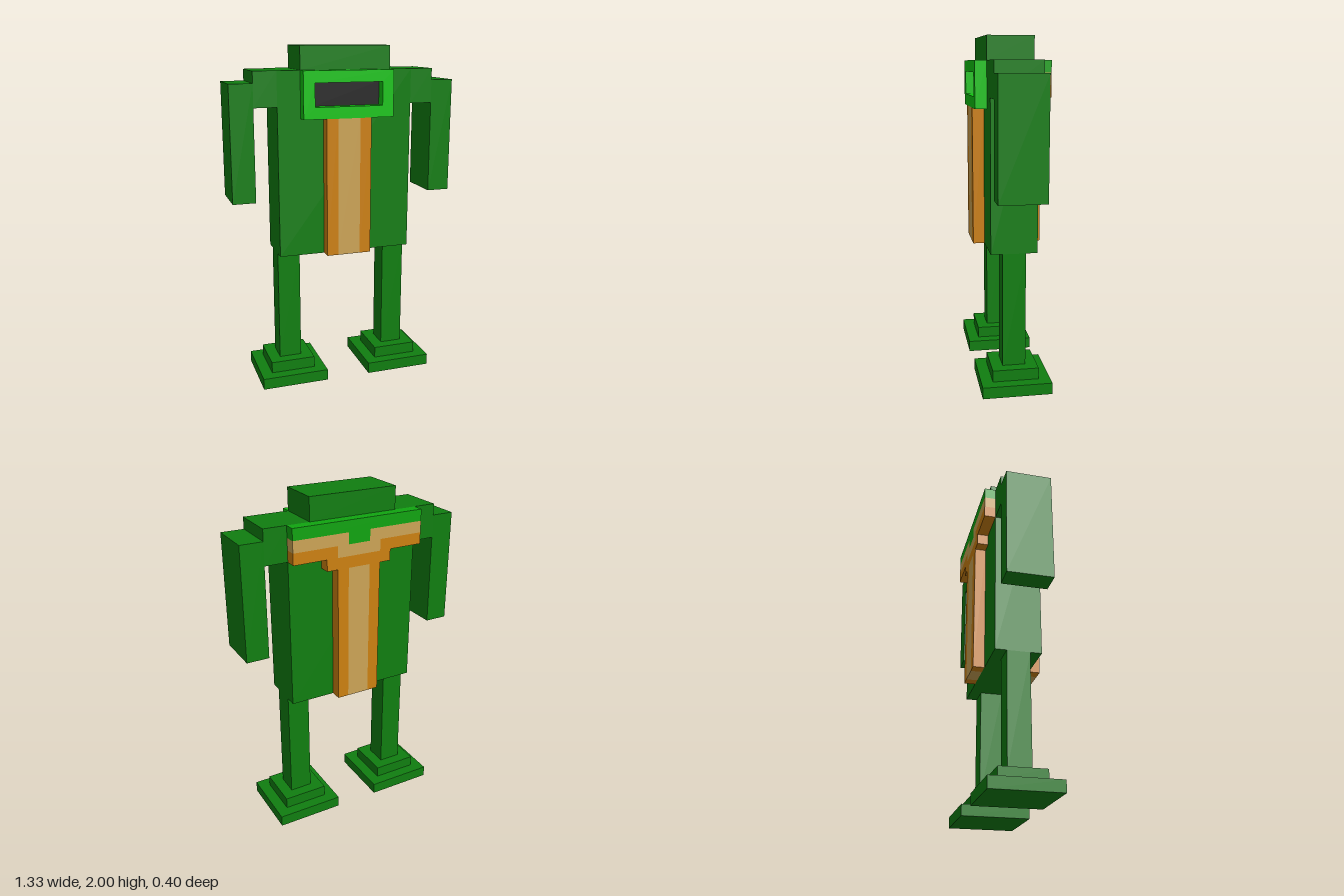
import * as THREE from 'three';

const U = 1 / 15; // one block

const material = (name, color) => {
  const m = new THREE.MeshStandardMaterial({ color });
  m.name = name;
  return m;
};

export function createModel() {
  const model = new THREE.Group();
  model.name = 'blockRobot';

  const green = material('darkGreen', 0x107e10);
  const bright = material('brightGreen', 0x10c410);
  const mid = material('midGreen', 0x10a410);
  const orange = material('orange', 0xcc8010);
  const tan = material('tan', 0xcca456);
  const black = material('black', 0x222222);

  // Box given by its block limits on each axis
  function box(name, mat, x0, x1, y0, y1, z0, z1) {
    const geo = new THREE.BoxGeometry((x1 - x0) * U, (y1 - y0) * U, (z1 - z0) * U);
    const mesh = new THREE.Mesh(geo, mat);
    mesh.name = name;
    mesh.position.set((x0 + x1) / 2 * U, (y0 + y1) / 2 * U, (z0 + z1) / 2 * U);
    model.add(mesh);
  }
  // The same box on both sides of the body
  function pair(name, mat, x0, x1, ...rest) {
    box('left' + name, mat, x0, x1, ...rest);
    box('right' + name, mat, -x1, -x0, ...rest);
  }

  // Body and head
  box('torso', green, -6, 6, 12, 28, -2, 2);
  box('head', green, -4, 4, 28, 30, -2, 2);

  // Limbs
  pair('Shoulder', green, 6, 8, 25, 28, -2, 2);
  pair('Arm', green, 8, 10, 17, 27, -2, 2);
  pair('Leg', green, 4, 6, 2, 12, -1, 1);
  pair('Ankle', green, 3, 7, 1, 2, -2, 2);
  pair('Foot', green, 2, 8, 0, 1, -3, 3);

  // Visor frame around a dark screen
  const frame = new THREE.Shape();
  frame.moveTo(-4 * U, 24 * U).lineTo(4 * U, 24 * U).lineTo(4 * U, 28 * U).lineTo(-4 * U, 28 * U);
  const opening = new THREE.Path();
  opening.moveTo(-3 * U, 25 * U).lineTo(-3 * U, 27 * U).lineTo(3 * U, 27 * U).lineTo(3 * U, 25 * U);
  frame.holes.push(opening);
  const visor = new THREE.Mesh(new THREE.ExtrudeGeometry(frame, { depth: U, bevelEnabled: false }), bright);
  visor.name = 'visorFrame';
  visor.position.z = 2 * U;
  model.add(visor);
  box('visorScreen', black, -3, 3, 25, 27, 2, 2.06);

  // Striped panels down the front and back
  for (const [side, z0, z1] of [['front', 2, 3], ['back', -3, -2]]) {
    box(side + 'Stripe', tan, -1, 1, 12, 24, z0, z1);
    pair(side + 'StripeEdge', orange, 1, 2, 12, 24, z0, z1);
  }

  // Stepped collar across the upper back
  box('collarTop', mid, -6, 6, 27, 28, -3, -2);
  box('collarNotch', mid, -1, 1, 26, 27, -3, -2);
  pair('CollarBand', tan, 1, 6, 26, 27, -3, -2);
  box('collarBandCentre', tan, -2, 2, 25, 26, -3, -2);
  pair('CollarTrim', orange, 2, 6, 25, 26, -3, -2);
  box('collarTrimCentre', orange, -3, 3, 24, 25, -3, -2);

  return model;
}
